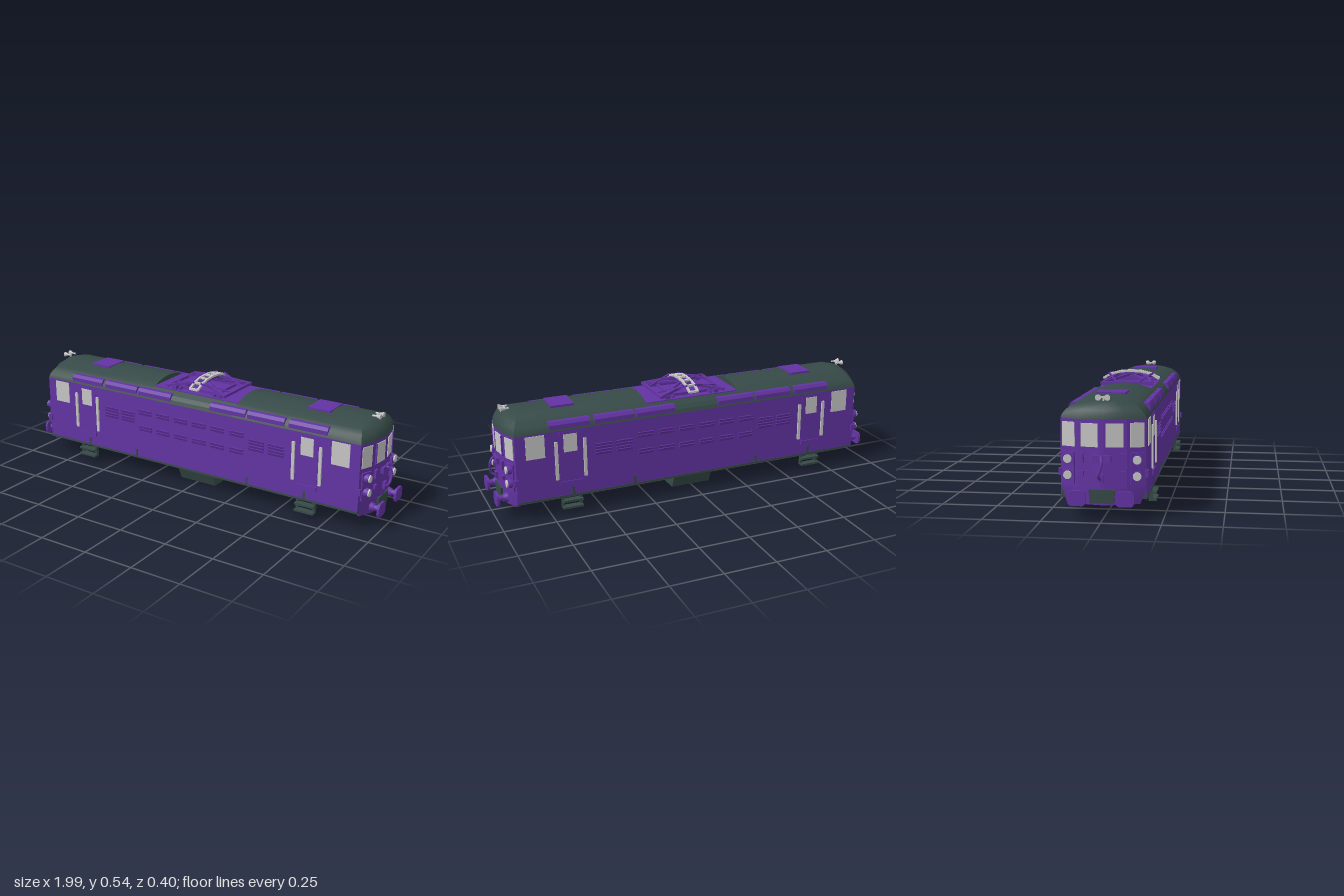
import * as THREE from 'three';
import { toCreasedNormals } from 'three/addons/utils/BufferGeometryUtils.js';

const mat = (name, color) => new THREE.MeshStandardMaterial({ name, color });
const purple = mat('purple paint', 0x6333a3);
const dark = mat('dark green grey', 0x364a47);
const grey = mat('light grey', 0xc6c6c6);
const V = (x, y, z) => new THREE.Vector3(x, y, z);

// Plan outline of the nose as [x, z], from the left side round to the right side
const half = [[0.91, 0.18], [0.942, 0.102], [0.957, 0.008]];
const nose = [...half, ...half.map(([x, z]) => [x, -z]).reverse()];

function add(parent, name, geometry, material, x = 0, y = 0, z = 0) {
  const m = new THREE.Mesh(geometry, material);
  m.name = name;
  m.position.set(x, y, z);
  parent.add(m);
  return m;
}
const box = (p, name, m, w, h, d, x, y, z) => add(p, name, new THREE.BoxGeometry(w, h, d), m, x, y, z);

// Square bar between two points
function bar(p, name, m, a, b, t) {
  const o = add(p, name, new THREE.BoxGeometry(t, t, a.distanceTo(b)), m);
  o.position.copy(a).lerp(b, 0.5);
  o.lookAt(b);
  return o;
}

// Cylinder lying along x
function rod(p, name, m, r1, r2, len, x, y, z, sides = 16) {
  return add(p, name, new THREE.CylinderGeometry(r1, r2, len, sides).rotateZ(-Math.PI / 2), m, x, y, z);
}

// Extrude a [z, y] polygon along x, centred on x = 0
function prism(points, length) {
  const s = new THREE.Shape(points.map(([z, y]) => new THREE.Vector2(-z, y)));
  return new THREE.ExtrudeGeometry(s, { depth: length, bevelEnabled: false })
    .translate(0, 0, -length / 2).rotateY(Math.PI / 2);
}

// Stack nose outlines; each level is [y, half width, inset of the end]
function noseLoft(levels, startX) {
  const rings = levels.map(([y, w, inset]) => [[startX, 0.18], ...nose, [startX, -0.18]].map(([x, z], i, a) =>
    [i === 0 || i === a.length - 1 ? x : x - inset, y, z * w / 0.18]));
  const pos = [], n = rings[0].length, top = rings[rings.length - 1];
  for (let r = 0; r < rings.length - 1; r++) for (let i = 0; i < n; i++) {
    const j = (i + 1) % n, a = rings[r][i], b = rings[r][j], c = rings[r + 1][j], d = rings[r + 1][i];
    pos.push(...a, ...b, ...c, ...a, ...c, ...d);
  }
  for (let i = 1; i < n - 1; i++) {
    pos.push(...top[0], ...top[i], ...top[i + 1], ...rings[0][0], ...rings[0][i + 1], ...rings[0][i]);
  }
  const g = new THREE.BufferGeometry();
  g.setAttribute('position', new THREE.Float32BufferAttribute(pos, 3));
  return toCreasedNormals(g, 0.5);
}

// Box standing on the angled nose face at height y and sideways position z
function onNose(p, name, m, y, z, h, w, d) {
  const [a, b] = Math.abs(z) > 0.102 ? [half[0], half[1]] : [half[1], half[2]];
  const x = a[0] + (b[0] - a[0]) * Math.min(1, (a[1] - Math.abs(z)) / (a[1] - b[1]));
  const o = box(p, name, m, d, h, w, x, y, z);
  if (Math.abs(z) > 0.008) o.rotation.y = -Math.sign(z) * Math.atan2(b[0] - a[0], a[1] - b[1]);
  return o;
}

function buildEnd() {
  const g = new THREE.Group();
  g.name = 'cabEnd';
  const roof = [[0.42, 0.18, 0], [0.438, 0.173, 0.003], [0.456, 0.158, 0.01], [0.474, 0.132, 0.022],
    [0.49, 0.088, 0.042], [0.499, 0.045, 0.065], [0.502, 0.012, 0.085]];
  add(g, 'roofDome', noseLoft(roof, 0.245), dark);
  box(g, 'roofHatch', purple, 0.115, 0.012, 0.13, 0.643, 0.499, 0);
  add(g, 'endSkirt', noseLoft([[0.065, 0.155, 0], [0.138, 0.18, 0]], 0.9), purple);
  add(g, 'couplerRecess', prism([[0.05, 0.073], [-0.05, 0.073], [-0.055, 0.13], [0.055, 0.13]], 0.012), dark, 0.954);
  for (const s of [1, -1]) {
    onNose(g, 'frontWindow', grey, 0.356, s * 0.052, 0.098, 0.073, 0.007);
    onNose(g, 'cornerWindow', grey, 0.356, s * 0.1425, 0.102, 0.06, 0.007);
    onNose(g, 'windowPillar', purple, 0.356, s * 0.091, 0.1, 0.005, 0.014);
    // Lamps on their panel
    onNose(g, 'lampPanel', purple, 0.216, s * 0.1415, 0.135, 0.056, 0.016);
    for (const y of [0.255, 0.187]) {
      rod(g, 'lampRim', purple, 0.022, 0.022, 0.03, 0.93, y, s * 0.145, 20);
      rod(g, 'lamp', grey, 0.017, 0.02, 0.02, 0.942, y, s * 0.145, 20);
    }
    onNose(g, 'upperSocket', purple, 0.26, s * 0.086, 0.042, 0.02, 0.025);
    onNose(g, 'lowerSocket', purple, 0.198, s * 0.086, 0.02, 0.02, 0.025);
    // Buffers
    rod(g, 'bufferBase', purple, 0.018, 0.024, 0.02, 0.951, 0.1, s * 0.1);
    rod(g, 'bufferStem', purple, 0.014, 0.014, 0.045, 0.968, 0.1, s * 0.1);
    const head = [[0.024, 0.032], [0.034, 0.026], [0.039, 0.013], [0.039, -0.013], [0.034, -0.026], [0.024, -0.032]];
    add(g, 'bufferHead', prism([...head, ...head.map(([z, y]) => [-z, -y])], 0.012), purple, 0.991, 0.1, s * 0.1);
    // Twin horns
    rod(g, 'hornBell', grey, 0.013, 0.005, 0.02, 0.918, 0.508, s * 0.019);
    rod(g, 'hornPipe', grey, 0.005, 0.005, 0.025, 0.9, 0.508, s * 0.019, 8);
  }
  box(g, 'hornStem', grey, 0.007, 0.04, 0.007, 0.905, 0.49, 0);
  box(g, 'hornBracket', grey, 0.007, 0.007, 0.04, 0.905, 0.508, 0);
  // Hanging hose
  box(g, 'hoseMount', purple, 0.02, 0.03, 0.078, 0.957, 0.26, 0);
  box(g, 'hoseSocket', purple, 0.024, 0.034, 0.024, 0.957, 0.178, 0.004);
  const path = new THREE.CatmullRomCurve3([V(0.955, 0.265, 0.002), V(0.975, 0.268, 0.001), V(0.99, 0.245, -0.004),
    V(0.99, 0.215, 0.003), V(0.985, 0.19, 0.011), V(0.965, 0.174, 0.004)]);
  add(g, 'hose', new THREE.TubeGeometry(path, 24, 0.006, 8), purple);
  // Headstock under the cab
  box(g, 'headstock', dark, 0.035, 0.05, 0.356, 0.893, 0.112, 0);
  return g;
}

function louvre(g, x, y, w, h, slats) {
  const t = h / slats;
  for (let i = 0; i < slats; i++) {
    add(g, 'louvreSlat', prism([[0, 0], [0, t], [0.006, t * 0.95]].reverse(), w), purple, x, y - h / 2 + i * t, 0.18);
  }
}

function buildSide() {
  const g = new THREE.Group();
  g.name = 'bodySide';
  box(g, 'lowerPanel', purple, 1.82, 0.045, 0.006, 0, 0.117, 0.177);
  box(g, 'sill', dark, 1.82, 0.01, 0.02, 0, 0.09, 0.172);
  box(g, 'innerSill', dark, 1.82, 0.045, 0.012, 0, 0.112, 0.168);
  box(g, 'floorBeam', dark, 1.76, 0.03, 0.02, 0, 0.113, 0.09);
  for (const s of [1, -1]) {
    box(g, 'cabWindow', grey, 0.09, 0.112, 0.006, s * 0.815, 0.357, 0.18);
    // Door with its rails and step
    box(g, 'door', purple, 0.11, 0.25, 0.006, s * 0.648, 0.288, 0.179);
    box(g, 'doorWindow', grey, 0.065, 0.088, 0.006, s * 0.648, 0.357, 0.181);
    box(g, 'doorStep', purple, 0.108, 0.02, 0.012, s * 0.648, 0.157, 0.181);
    for (const x of [0.717, 0.578]) box(g, 'doorHandrail', grey, 0.015, 0.19, 0.01, s * x, 0.275, 0.183);
    box(g, 'sideSocket', purple, 0.022, 0.03, 0.014, s * 0.91, 0.195, 0.181);
    // Boarding steps
    for (const x of [0.605, 0.693]) box(g, 'stepHanger', dark, 0.012, 0.06, 0.016, s * x, 0.06, 0.173);
    for (const y of [0.035, 0.068]) box(g, 'stepTread', dark, 0.1, 0.01, 0.034, s * 0.649, y, 0.183);
    for (const x of [0.64, 0.33]) box(g, 'sillBracket', dark, 0.012, 0.04, 0.006, s * x, 0.112, 0.179);
    // Ventilation louvres
    for (const x of [0.38, 0.485]) for (const y of [0.317, 0.287]) louvre(g, s * x, y, 0.082, 0.028, 2);
    for (const x of [0.054, 0.162, 0.27]) for (const y of [0.34, 0.254]) louvre(g, s * x, y, 0.078, 0.028, 2);
    // Air intakes along the roof edge
    for (const x of [0.215, 0.424, 0.645]) {
      const strip = prism([[0.14, 0.43], [0.178, 0.43], [0.178, 0.45], [0.168, 0.465], [0.14, 0.465]].reverse(), 0.198);
      add(g, 'roofIntake', strip, purple, s * x);
    }
  }
  return g;
}

function buildPantograph() {
  const g = new THREE.Group();
  g.name = 'pantograph';
  for (const s of [1, -1]) {
    bar(g, 'baseRail', purple, V(-0.13, 0.487, s * 0.09), V(0.13, 0.487, s * 0.09), 0.014);
    bar(g, 'shaft', purple, V(s * 0.165, 0.493, -0.13), V(s * 0.165, 0.493, 0.13), 0.013);
    bar(g, 'topTube', purple, V(s * 0.02, 0.528, -0.07), V(s * 0.02, 0.528, 0.07), 0.01);
    bar(g, 'baseCross', purple, V(s * 0.1, 0.485, -0.12), V(s * 0.1, 0.485, 0.12), 0.012);
    for (const t of [1, -1]) {
      bar(g, 'lowerArm', purple, V(s * 0.165, 0.493, t * 0.12), V(-s * 0.02, 0.528, t * 0.055), 0.014);
      bar(g, 'upperArm', purple, V(s * 0.165, 0.493, t * 0.12), V(s * 0.01, 0.52, t * 0.01), 0.01);
      bar(g, 'sideBrace', purple, V(s * 0.165, 0.493, t * 0.05), V(s * 0.02, 0.528, t * 0.11), 0.008);
      box(g, 'baseFoot', purple, 0.025, 0.025, 0.025, s * 0.13, 0.485, t * 0.11);
    }
    // Arched contact rails
    const arc = [[-0.14, 0.503], [-0.1, 0.524], [-0.05, 0.536], [0, 0.539], [0.05, 0.536], [0.1, 0.524], [0.14, 0.503]];
    for (let i = 0; i < arc.length - 1; i++) {
      const [a, b] = [arc[i], arc[i + 1]];
      bar(g, 'contactRail', grey, V(s * 0.022, a[1], a[0]), V(s * 0.022, b[1], b[0]), 0.01);
    }
    if (s > 0) for (const [z, y] of arc) box(g, 'contactRung', grey, 0.05, 0.009, 0.014, 0, y, z * 0.97);
  }
  return g;
}

export function createModel() {
  const model = new THREE.Group();
  model.name = 'locomotive';
  // Main shell
  const plan = new THREE.Shape([...nose, ...nose.map(([x, z]) => [-x, -z])].map(([x, z]) => new THREE.Vector2(x, -z)));
  const shell = new THREE.ExtrudeGeometry(plan, { depth: 0.284, bevelEnabled: false }).rotateX(-Math.PI / 2);
  add(model, 'bodyShell', shell, purple, 0, 0.136, 0);
  // Lowered middle of the roof
  const side = [[0.18, 0.42], [0.173, 0.438], [0.158, 0.456], [0.132, 0.474]];
  const mid = [...side, ...side.map(([z, y]) => [-z, y]).reverse()].reverse();
  add(model, 'middleRoof', prism(mid, 0.49), dark);
  box(model, 'pantographDeck', purple, 0.488, 0.006, 0.258, 0, 0.475, 0);
  model.add(buildPantograph());
  // Underframe and central tank
  box(model, 'floor', dark, 1.8, 0.012, 0.35, 0, 0.13, 0);
  const tank = [[0.105, 0], [0.14, 0.085], [0.14, 0.125], [-0.14, 0.125], [-0.14, 0.085], [-0.105, 0]];
  add(model, 'tank', prism(tank, 0.205), dark);
  for (const turn of [0, Math.PI]) {
    for (const part of [buildEnd(), buildSide()]) {
      part.rotation.y = turn;
      model.add(part);
    }
  }
  return model;
}
